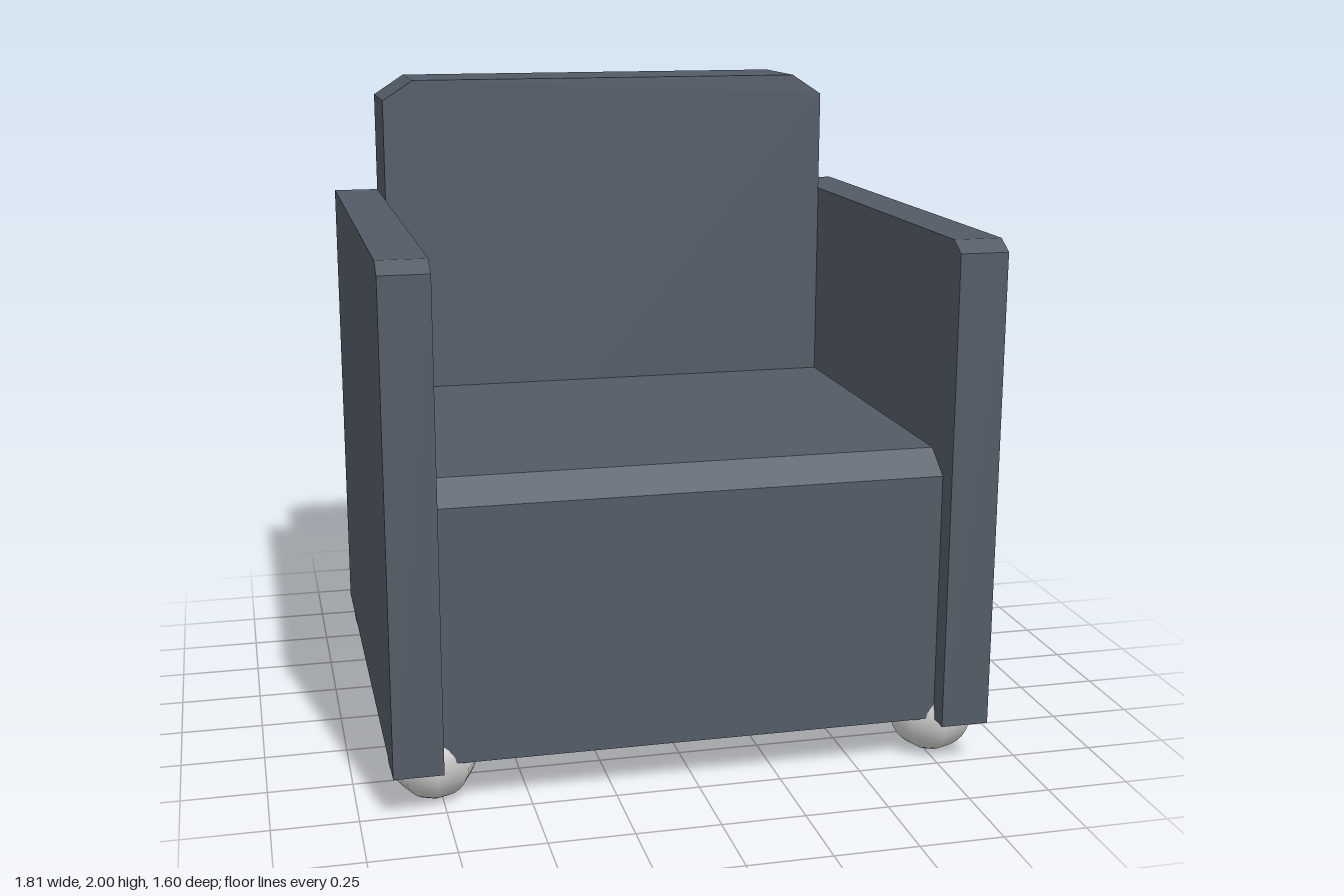
import * as THREE from 'three';

const upholstery = new THREE.MeshStandardMaterial({ color: 0x525b66 });
upholstery.name = 'slate upholstery';
const metal = new THREE.MeshStandardMaterial({ color: 0xcfcfcd });
metal.name = 'pale grey feet';

const BASE = 0.14;

function extrude(points, depth) {
  const shape = new THREE.Shape(points.map(([a, b]) => new THREE.Vector2(a, b)));
  return new THREE.ExtrudeGeometry(shape, { depth, bevelEnabled: false });
}

// Side profile given as (z, y), extruded from x0 to x1
function sidePanel(name, points, x0, x1) {
  const geometry = extrude(points, x1 - x0).rotateY(-Math.PI / 2).translate(x1, 0, 0);
  const mesh = new THREE.Mesh(geometry, upholstery);
  mesh.name = name;
  return mesh;
}

export function createModel() {
  const chair = new THREE.Group();
  chair.name = 'armchair';

  // Arms with a small chamfer at the upper front edge
  const arm = [[-0.8, BASE], [0.8, BASE], [0.8, 1.577], [0.745, 1.61], [-0.8, 1.61]];
  chair.add(sidePanel('rightArm', arm, -0.905, -0.76));
  chair.add(sidePanel('leftArm', arm, 0.74, 0.885));

  // Seat block with a bevelled front edge
  const seat = [[-0.49, BASE], [0.73, BASE], [0.73, 0.905], [0.64, 0.97], [-0.49, 0.97]];
  chair.add(sidePanel('seat', seat, -0.76, 0.74));

  // Backrest with clipped top corners
  const back = [[-0.76, BASE], [0.74, BASE], [0.74, 1.935], [0.64, 2], [-0.66, 2], [-0.76, 1.935]];
  const backrest = new THREE.Mesh(extrude(back, 0.31).translate(0, 0, -0.8), upholstery);
  backrest.name = 'backrest';
  chair.add(backrest);

  // Eight-sided ball feet, partly sunk into the body
  const ball = new THREE.SphereGeometry(0.132, 8, 16);
  for (const x of [-0.772, 0.772]) {
    for (const z of [-0.617, 0.622]) {
      const foot = new THREE.Mesh(ball, metal);
      foot.name = `${z > 0 ? 'front' : 'back'}${x > 0 ? 'Left' : 'Right'}Foot`;
      foot.position.set(x, 0.132, z);
      chair.add(foot);
    }
  }
  return chair;
}
